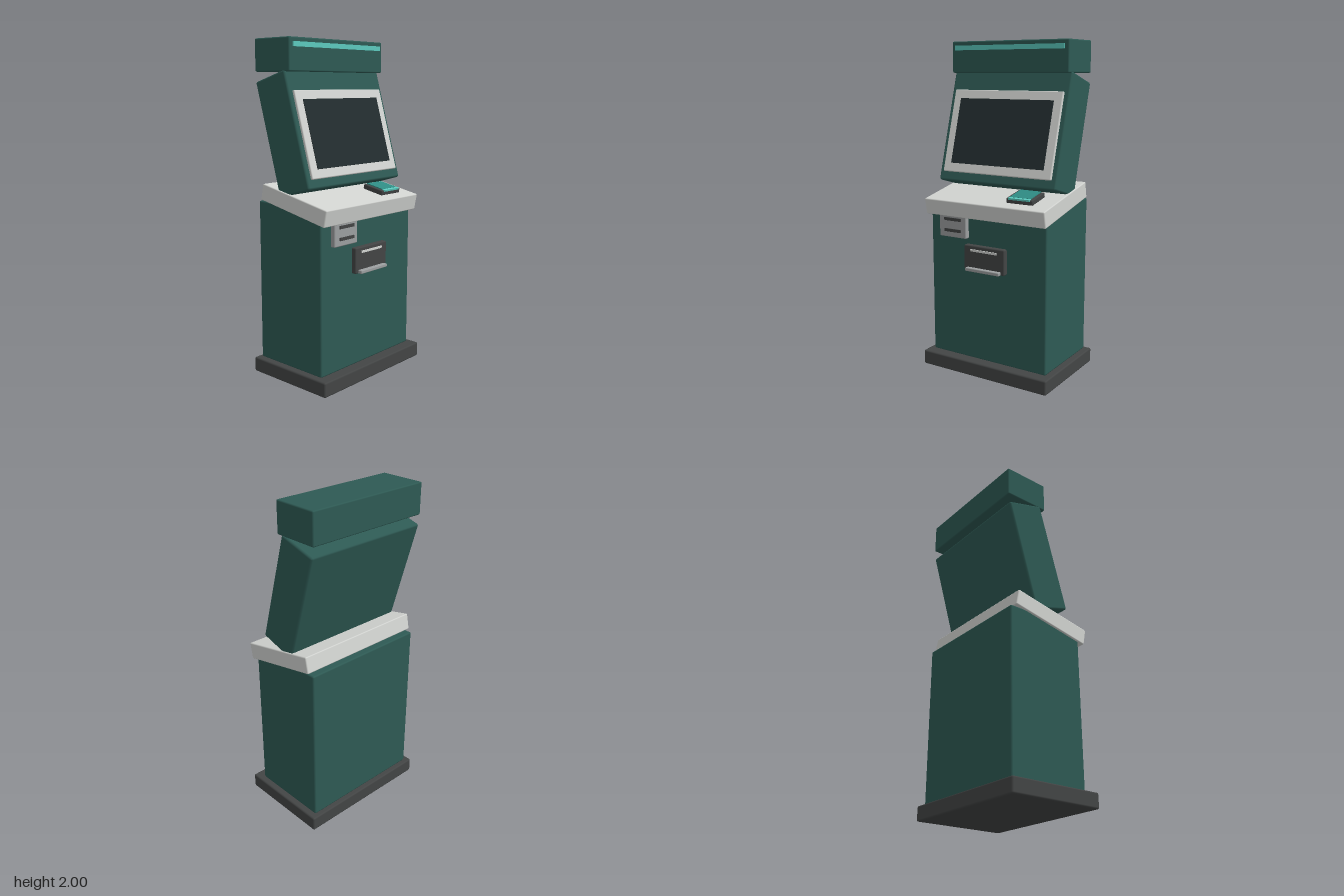
import * as THREE from 'three';
import { RoundedBoxGeometry } from 'three/addons/geometries/RoundedBoxGeometry.js';

const mat = (name, color) => new THREE.MeshStandardMaterial({ name, color });

export function createModel() {
  const green = mat('cabinetGreen', 0x2e5a54);
  const dark = mat('charcoal', 0x434545);
  const light = mat('lightGrey', 0xd2d4d1);
  const grey = mat('midGrey', 0x9c9fa0);
  const glass = mat('screenGlass', 0x232d2f);
  const teal = mat('padTeal', 0x2f8c84);
  const glow = mat('lightTeal', 0x5ccabe);

  const model = new THREE.Group();
  model.name = 'kiosk';

  // chamfered box given by its extents [min, max] on each axis
  function box(parent, name, material, [x0, x1], [y0, y1], [z0, z1], bevel = 0) {
    const w = x1 - x0, h = y1 - y0, d = z1 - z0;
    const geometry = bevel
      ? new RoundedBoxGeometry(w, h, d, 1, bevel)
      : new THREE.BoxGeometry(w, h, d);
    const mesh = new THREE.Mesh(geometry, material);
    mesh.name = name;
    mesh.position.set((x0 + x1) / 2, (y0 + y1) / 2, (z0 + z1) / 2);
    parent.add(mesh);
    return mesh;
  }

  // group tilted about the x axis
  function tilted(name, y, z, angle) {
    const group = new THREE.Group();
    group.name = name;
    group.position.set(0, y, z);
    group.rotation.x = angle;
    model.add(group);
    return group;
  }

  // plinth and lower cabinet
  box(model, 'base', dark, [-0.44, 0.44], [0, 0.09], [-0.297, 0.297], 0.01);
  box(model, 'cabinet', green, [-0.403, 0.403], [0.09, 1.063], [-0.27, 0.234], 0.01);

  // sloping counter with its payment pad
  const counter = tilted('counter', 1.069, 0.024, 0.2);
  box(counter, 'counterTop', light, [-0.415, 0.415], [-0.05, 0.05], [-0.26, 0.26], 0.007);
  box(counter, 'payPad', dark, [0.133, 0.307], [0.052, 0.083], [0.05, 0.197], 0.006);
  box(counter, 'padScreen', teal, [0.152, 0.288], [0.08, 0.088], [0.058, 0.182]);
  box(counter, 'padLight', glow, [0.15, 0.292], [0.076, 0.087], [0.182, 0.2]);

  // leaning screen housing
  const head = tilted('head', 1.46, -0.064, -0.282);
  box(head, 'screenHousing', green, [-0.407, 0.407], [-0.342, 0.342], [-0.124, 0.124], 0.012);
  box(head, 'screenBezel', light, [-0.375, 0.375], [-0.288, 0.222], [0.115, 0.139], 0.006);
  box(head, 'screen', glass, [-0.323, 0.323], [-0.235, 0.167], [0.136, 0.142]);

  // top hood with light strip
  box(model, 'hood', green, [-0.403, 0.403], [1.812, 2], [-0.285, 0], 0.008);
  box(model, 'hoodLight', glow, [-0.377, 0.377], [1.947, 1.975], [-0.005, 0.008]);

  // card reader with two slots
  box(model, 'cardReader', grey, [-0.322, -0.128], [0.842, 1.0], [0.225, 0.264], 0.007);
  for (const y of [0.885, 0.953]) {
    box(model, 'cardSlot', dark, [-0.282, -0.162], [y - 0.009, y + 0.009], [0.261, 0.27]);
  }

  // receipt printer with paper slit and tray lip
  box(model, 'printer', dark, [-0.143, 0.14], [0.655, 0.81], [0.225, 0.264], 0.008);
  box(model, 'paperSlit', light, [-0.093, 0.088], [0.775, 0.788], [0.261, 0.27]);
  box(model, 'printerLip', grey, [-0.12, 0.117], [0.656, 0.677], [0.25, 0.29], 0.005);

  return model;
}
